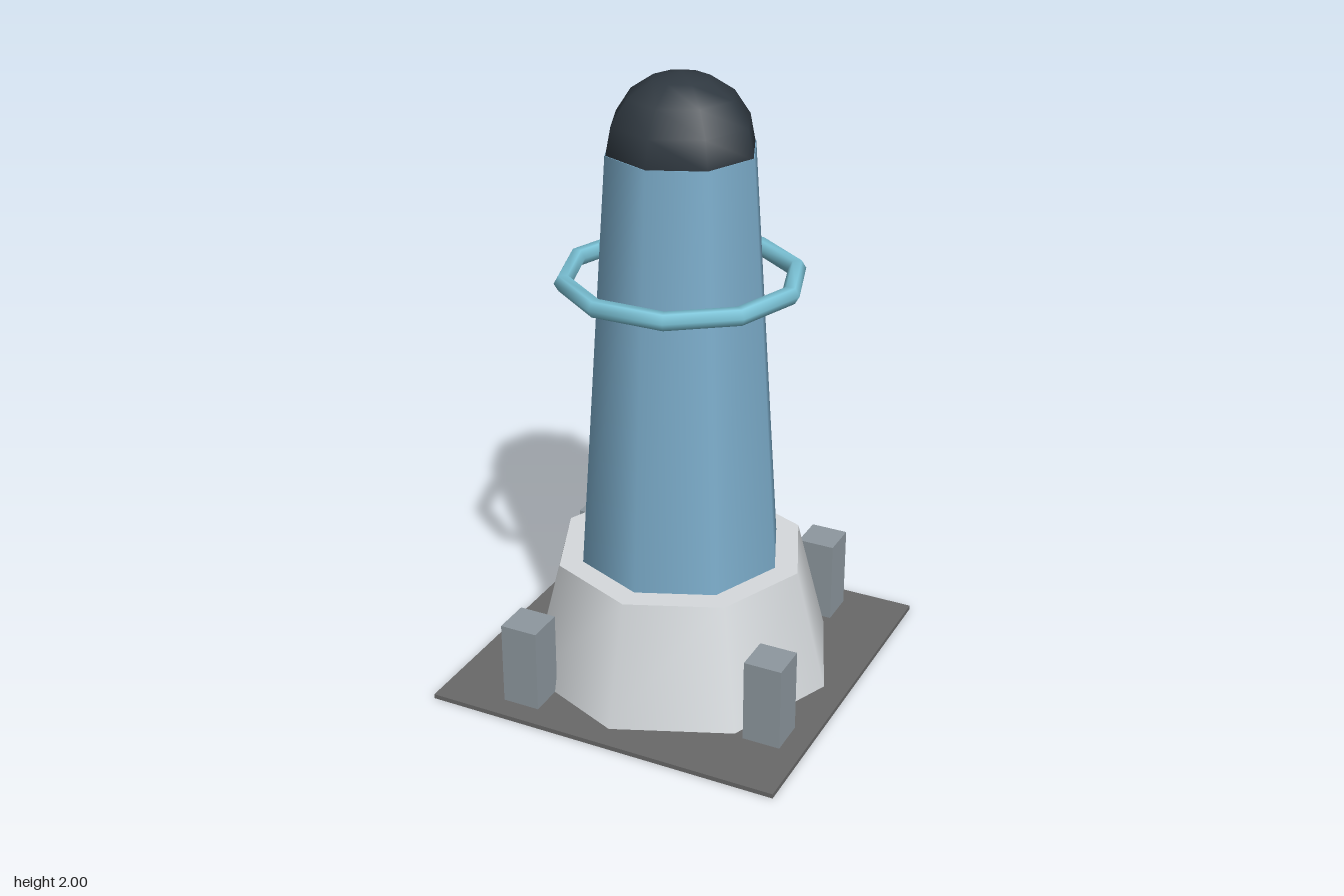
import * as THREE from 'three';

export function createModel() {
  const group = new THREE.Group();
  const mat = (name, color) => {
    const m = new THREE.MeshStandardMaterial({ color });
    m.name = name;
    return m;
  };
  const paleGrey = mat('pale grey', 0xd6dadd);
  const blue = mat('tower blue', 0x7cadcb);
  const dark = mat('dark slate', 0x2f3840);
  const cyan = mat('ring cyan', 0x7cc4d8);
  const blockGrey = mat('block grey', 0x8e989f);
  const plateGrey = mat('plate grey', 0x696969);

  const add = (name, geometry, material, x, y, z) => {
    const mesh = new THREE.Mesh(geometry, material);
    mesh.name = name;
    mesh.position.set(x, y, z);
    group.add(mesh);
    return mesh;
  };

  // Thin square ground plate
  add('groundPlate', new THREE.BoxGeometry(1.192, 0.015, 1.192), plateGrey, 0, 0.0075, 0);

  // Octagonal plinth and tapering tower, smooth round the sides
  add('plinth', new THREE.CylinderGeometry(0.413, 0.517, 0.398, 8), paleGrey, 0, 0.214, 0);
  add('tower', new THREE.CylinderGeometry(0.239, 0.334, 1.354, 8), blue, 0, 1.09, 0);

  // Half-sphere cap
  const dome = new THREE.SphereGeometry(0.237, 8, 4, 0, Math.PI * 2, 0, Math.PI / 2);
  add('dome', dome, dark, 0, 1.763, 0);

  // Ten-sided ring floating around the tower
  const ring = new THREE.TorusGeometry(0.364, 0.029, 6, 10).rotateX(Math.PI / 2);
  add('ring', ring, cyan, 0, 1.359, 0);

  // Four blocks, each a quarter turn from the last
  const block = new THREE.BoxGeometry(0.124, 0.277, 0.124);
  let [x, z] = [0.46, 0.315];
  for (let i = 0; i < 4; i++) {
    add('block' + (i + 1), block, blockGrey, x, 0.1535, z);
    [x, z] = [-z, x];
  }
  return group;
}
